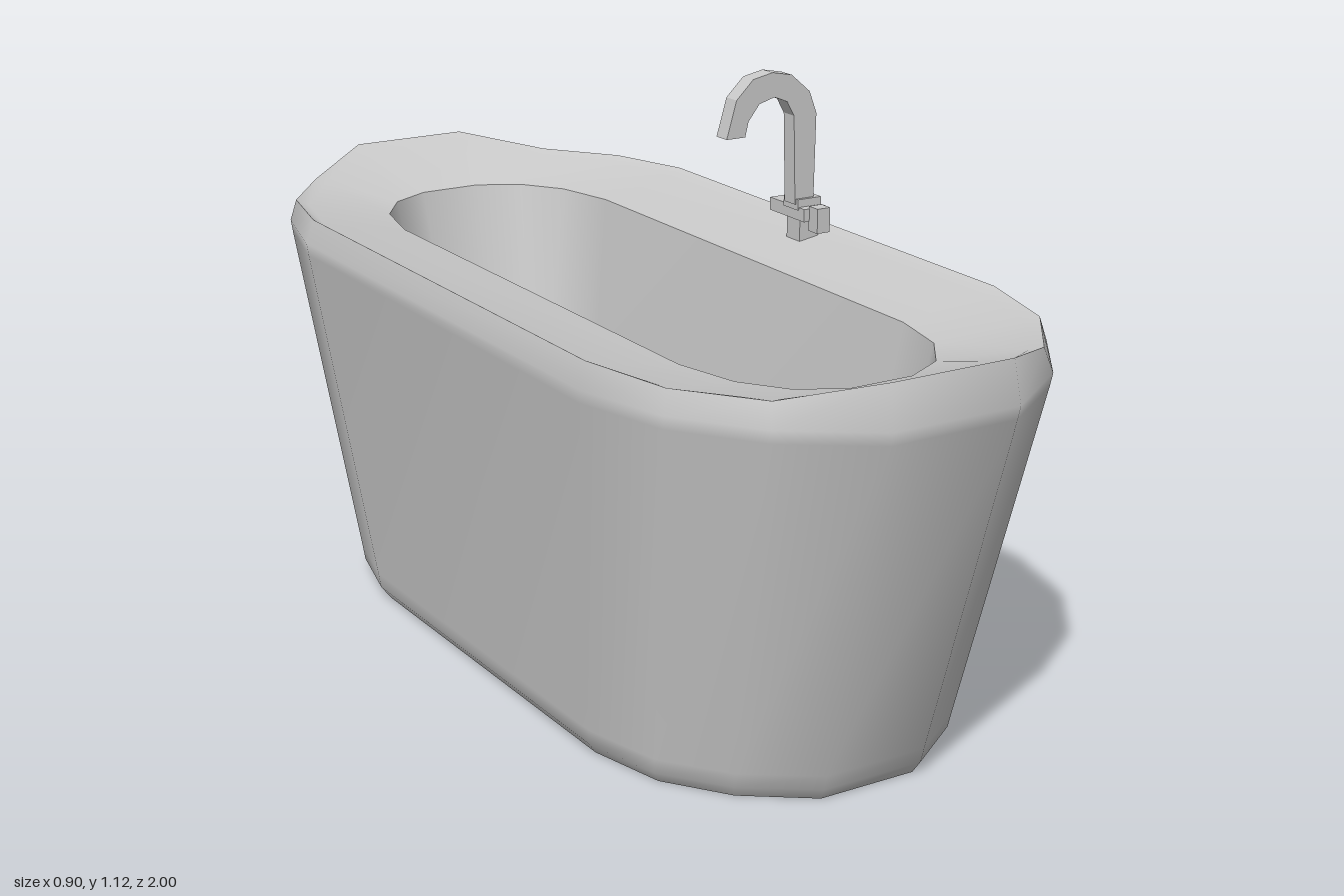
import * as THREE from 'three';

const grey = new THREE.MeshStandardMaterial({ color: 0xcacaca, side: THREE.DoubleSide });
grey.name = 'grey enamel';

// Closed 16-point ring mirrored from a quarter outline of [x, z]; y is one height or one per point
function ring(quarter, y) {
  const q = quarter.map(([x, z], i) => [x, Array.isArray(y) ? y[i] : y, z]);
  const r = [...q].reverse();
  return [
    ...q,
    ...r.map(([x, h, z]) => [-x, h, z]),
    ...q.map(([x, h, z]) => [-x, h, -z]),
    ...r.map(([x, h, z]) => [x, h, -z]),
  ];
}

// Smooth skin through a series of rings, optionally closed by a fan at the last ring
function loft(name, rings, cap = false) {
  const n = rings[0].length;
  const index = [];
  for (let k = 0; k < rings.length - 1; k++) {
    for (let i = 0; i < n; i++) {
      const a = k * n + i, b = k * n + ((i + 1) % n);
      index.push(a, a + n, b, b, a + n, b + n);
    }
  }
  const points = rings.flat();
  if (cap) {
    const base = (rings.length - 1) * n;
    points.push([0, rings.at(-1)[0][1], 0]);
    for (let i = 0; i < n; i++) index.push(points.length - 1, base + ((i + 1) % n), base + i);
  }
  const g = new THREE.BufferGeometry();
  g.setAttribute('position', new THREE.Float32BufferAttribute(points.flat(), 3));
  g.setIndex(index);
  g.computeVertexNormals();
  return mesh(name, g);
}

function mesh(name, geometry) {
  const m = new THREE.Mesh(geometry, grey);
  m.name = name;
  return m;
}

function box(name, w, h, d, x, y, z) {
  const m = mesh(name, new THREE.BoxGeometry(w, h, d));
  m.position.set(x, y, z);
  return m;
}

function createTub() {
  const tub = new THREE.Group();
  tub.name = 'tub';
  const wide = [[0.45, 0.55], [0.4, 0.74], [0.29, 0.89], [0.13, 1]];
  const foot = [[0.365, 0.43], [0.325, 0.59], [0.235, 0.71], [0.105, 0.8]];
  const between = (t) => foot.map(([x, z], i) => [x + (wide[i][0] - x) * t, z + (wide[i][1] - z) * t]);

  const lip = ring([[0.435, 0.545], [0.39, 0.73], [0.28, 0.875], [0.125, 0.985]], [0.798, 0.794, 0.794, 0.83]);
  const rimTop = ring([[0.41, 0.54], [0.37, 0.71], [0.265, 0.855], [0.118, 0.96]], [0.783, 0.784, 0.787, 0.818]);
  const opening = ring([[0.24, 0.53], [0.21, 0.66], [0.15, 0.745], [0.065, 0.79]], 0.755);
  const floorOutline = [[0.16, 0.46], [0.14, 0.55], [0.1, 0.595], [0.05, 0.615]];
  const floor = ring(floorOutline, 0.142);

  // Thin outer wall, open below, with a soft bevel at the foot and under the lip
  const sole = ring(foot.map(([x, z]) => [x * 0.95, z * 0.98]), 0);
  tub.add(loft('outerWall', [
    sole, ring(foot, 0.025), ring(between(0.04), 0.055),
    ring(between(0.97), 0.725), ring(wide, 0.75), lip,
  ]));

  // Rim, basin wall and basin floor
  tub.add(loft('rim', [lip, rimTop, opening]));
  tub.add(loft('basinWall', [opening, floor]));
  tub.add(loft('basinFloor', [floor], true));

  // Outside of the basin inside the hollow shell, with a plate around the floor
  const plate = ring([[0.24, 0.47], [0.215, 0.6], [0.15, 0.67], [0.07, 0.7]], 0.132);
  const hole = ring(floorOutline, 0.132);
  const shoulder = ring([[0.32, 0.54], [0.285, 0.7], [0.2, 0.81], [0.085, 0.87]], 0.72);
  tub.add(loft('undersideRecess', [floor, hole]));
  tub.add(loft('undersidePlate', [hole, plate]));
  tub.add(loft('basinOutside', [plate, shoulder]));
  return tub;
}

function createTap() {
  const tap = new THREE.Group();
  tap.name = 'tap';

  // Faceted gooseneck spout: outer edge, then back along the inner edge
  const outline = [
    [0.392, 0.85], [0.395, 1.03], [0.378, 1.075], [0.335, 1.112], [0.29, 1.121], [0.245, 1.112], [0.207, 1.075],
    [0.185, 1], [0.228, 1], [0.235, 1.03], [0.26, 1.062], [0.295, 1.072], [0.325, 1.06], [0.342, 1.03], [0.348, 0.85],
  ];
  const shape = new THREE.Shape(outline.map(([x, y]) => new THREE.Vector2(x, y)));
  const spout = new THREE.ExtrudeGeometry(shape, { depth: 0.036, bevelEnabled: false });
  spout.translate(0, 0, -0.012);
  tap.add(mesh('spout', spout));

  // Base, cross bar and handle
  tap.add(box('tapBase', 0.045, 0.09, 0.045, 0.38, 0.81, 0.006));
  tap.add(box('tapCollar', 0.055, 0.022, 0.05, 0.378, 0.85, 0.006));
  tap.add(box('crossBar', 0.055, 0.026, 0.12, 0.38, 0.832, -0.01));
  tap.add(box('handle', 0.03, 0.05, 0.03, 0.38, 0.825, 0.063));
  return tap;
}

export function createModel() {
  const model = new THREE.Group();
  model.name = 'bathtub';
  model.add(createTub(), createTap());
  return model;
}
